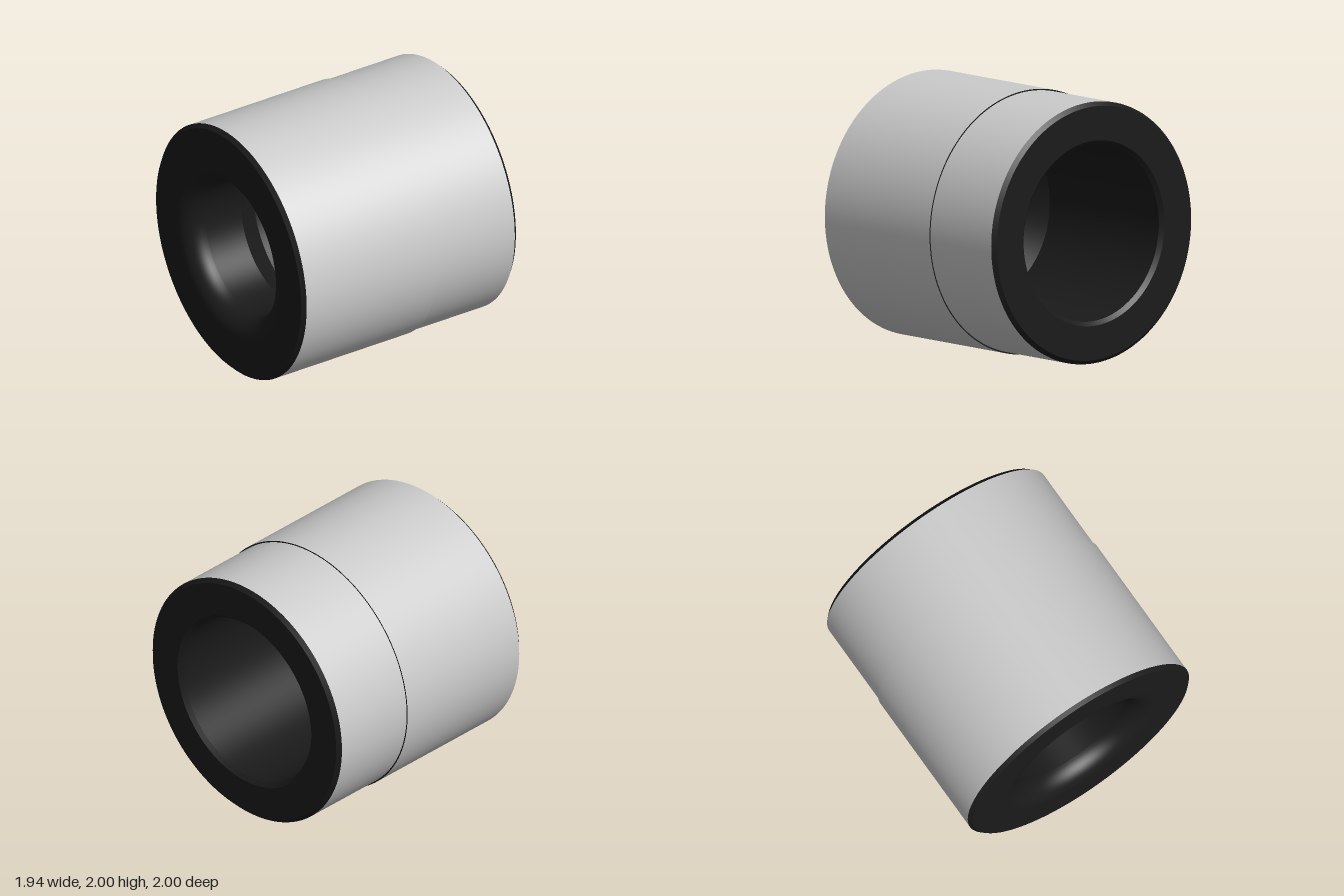
import * as THREE from 'three';

const grey = new THREE.MeshStandardMaterial({ color: 0xcccccc });
const black = new THREE.MeshStandardMaterial({ color: 0x1a1a1a });

// Surface of revolution about the x axis; profile points are [radius, x]
function revolve(name, profile, material) {
  const points = profile.map(([r, x]) => new THREE.Vector2(r, x));
  const mesh = new THREE.Mesh(new THREE.LatheGeometry(points, 128), material);
  mesh.name = name;
  mesh.rotation.z = -Math.PI / 2;
  return mesh;
}

export function createModel() {
  const model = new THREE.Group();
  model.name = 'bushing';

  // Outer sleeve: a long section and a slightly narrower one
  model.add(revolve('mainSleeve', [[1, -0.94], [1, 0.25]], grey));
  model.add(revolve('sleeveStep', [[1, 0.25], [0.99, 0.25]], black));
  model.add(revolve('narrowSleeve', [[0.99, 0.25], [0.99, 0.94]], grey));

  // Dark bevelled ends
  model.add(revolve('rightBevel', [[0.97, -0.97], [1, -0.94]], black));
  model.add(revolve('leftBevel', [[0.99, 0.94], [0.96, 0.97]], black));
  model.add(revolve('leftEndFace', [[0.96, 0.97], [0.7, 0.97]], black));
  model.add(revolve('rightEndFace', [[0.68, -0.97], [0.97, -0.97]], black));

  // Wide bore with a chamfered mouth, narrowing to the throat
  model.add(revolve('boreChamfer', [[0.7, 0.97], [0.67, 0.94]], black));
  model.add(revolve('wideBore', [[0.67, 0.94], [0.67, -0.3]], black));
  model.add(revolve('boreTaper', [[0.67, -0.3], [0.53, -0.5]], black));
  model.add(revolve('throat', [[0.53, -0.5], [0.53, -0.82]], black));

  // Rounded lip from the throat out to the end face
  const lip = [];
  for (let i = 0; i <= 12; i++) {
    const a = (i / 12) * Math.PI / 2;
    lip.push([0.68 - 0.15 * Math.cos(a), -0.82 - 0.15 * Math.sin(a)]);
  }
  model.add(revolve('throatLip', lip, black));

  // Stand the ring on the ground
  model.children.forEach((part) => { part.position.y = 1; });
  return model;
}
